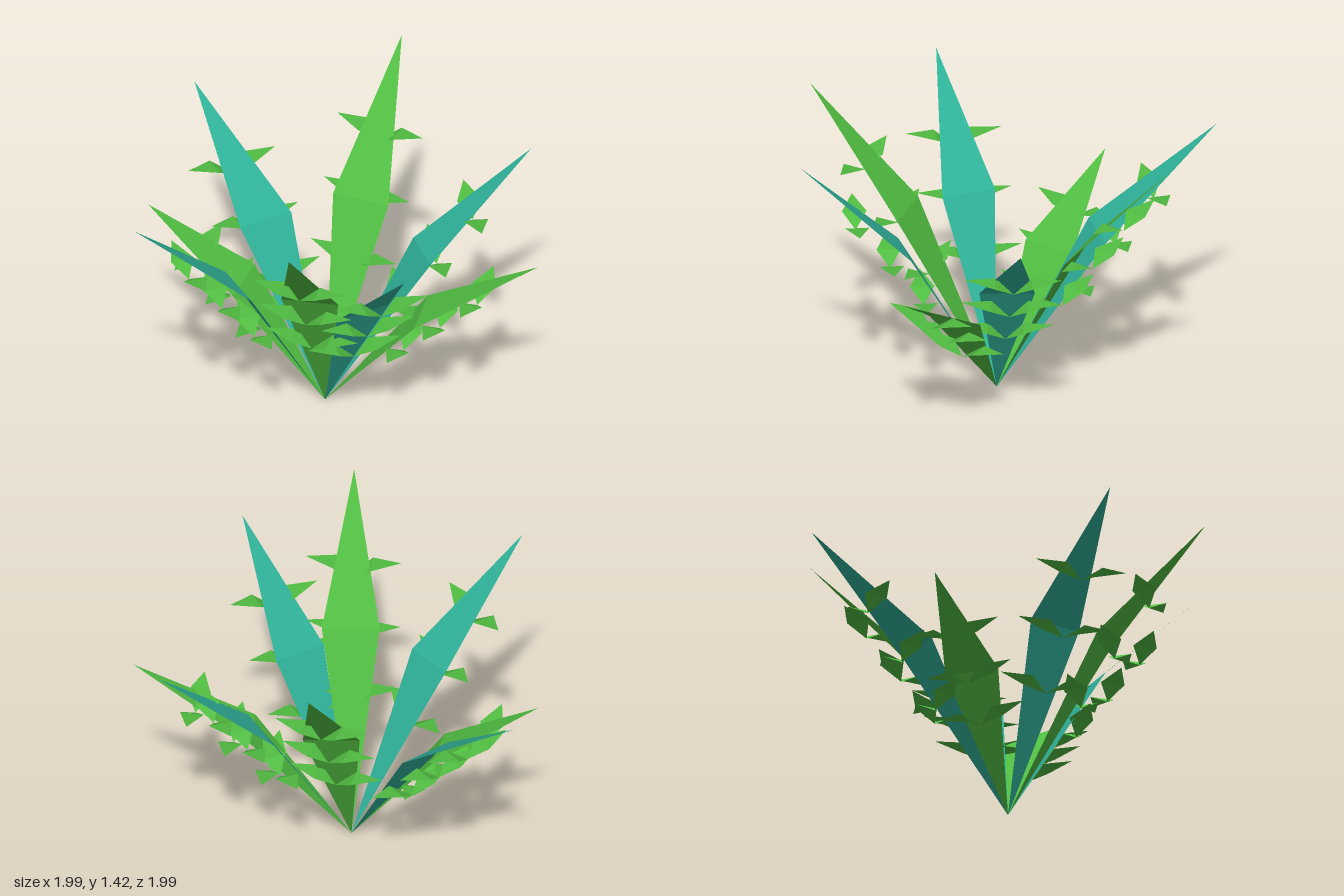
import * as THREE from 'three';

const BASE = new THREE.Vector3(-0.015, 0, 0.06);

// Kite folded across its widest line: root, two side corners, tip
function kite(root, a, b, tip, material, name) {
  const pts = [root, a, b, a, tip, b];
  // keep the upper side as the front face
  const n = new THREE.Vector3().crossVectors(a.clone().sub(root), b.clone().sub(root));
  if (n.y < 0) pts.reverse();
  const geo = new THREE.BufferGeometry().setFromPoints(pts);
  geo.computeVertexNormals();
  const mesh = new THREE.Mesh(geo, material);
  mesh.name = name;
  return mesh;
}

export function createModel() {
  const group = new THREE.Group();
  group.name = 'plant';
  const teal = new THREE.MeshStandardMaterial({ color: 0x2fb098, side: THREE.DoubleSide, flatShading: true });
  teal.name = 'teal leaf';
  const green = new THREE.MeshStandardMaterial({ color: 0x50bc41, side: THREE.DoubleSide, flatShading: true });
  green.name = 'green leaf';

  // Each blade: colour, tip, and the two corners at its bend
  const blades = [
    [teal, [-0.31, 1.16, -1.0], [-0.015, 0.72, -0.45], [-0.28, 0.72, -0.40]],
    [teal, [0.07, 1.25, 0.99], [0.16, 0.775, 0.48], [-0.105, 0.76, 0.51]],
    [teal, [-1.0, 1.27, 0.23], [-0.485, 0.79, 0.015], [-0.44, 0.78, 0.265]],
    [teal, [0.99, 1.205, 0.063], [0.455, 0.73, -0.065], [0.455, 0.745, 0.195]],
    [green, [-0.457, 1.41, 0.88], [-0.335, 0.85, 0.39], [-0.097, 0.85, 0.515]],
    [green, [0.85, 0.91, 0.59], [0.305, 0.56, 0.41], [0.445, 0.575, 0.19]],
    [green, [0.605, 1.425, -0.70], [0.16, 0.85, -0.36], [0.38, 0.83, -0.21]],
    [green, [-0.69, 0.86, -0.525], [-0.41, 0.55, -0.12], [-0.235, 0.56, -0.32]],
  ];

  for (const [material, ...corners] of blades) {
    const [tip, a, b] = corners.map((p) => new THREE.Vector3(...p));
    const frond = new THREE.Group();
    frond.name = 'frond';
    frond.add(kite(BASE, a, b, tip, material, 'blade'));

    // Three pairs of small leaflets along the line from root to tip
    const angle = Math.atan2(tip.z - BASE.z, tip.x - BASE.x) + Math.PI / 2 + 0.12;
    for (const t of [0.37, 0.54, 0.715]) {
      const root = BASE.clone().lerp(tip, t);
      for (const turn of [0, Math.PI]) {
        const c = Math.cos(angle + turn), s = Math.sin(angle + turn);
        const at = (out, across, up) =>
          new THREE.Vector3(root.x + out * c - across * s, root.y + up, root.z + out * s + across * c);
        frond.add(kite(root, at(0.085, 0.057, 0.055), at(0.085, -0.057, 0.055), at(0.225, 0, 0.075), green, 'leaflet'));
      }
    }
    group.add(frond);
  }
  return group;
}
